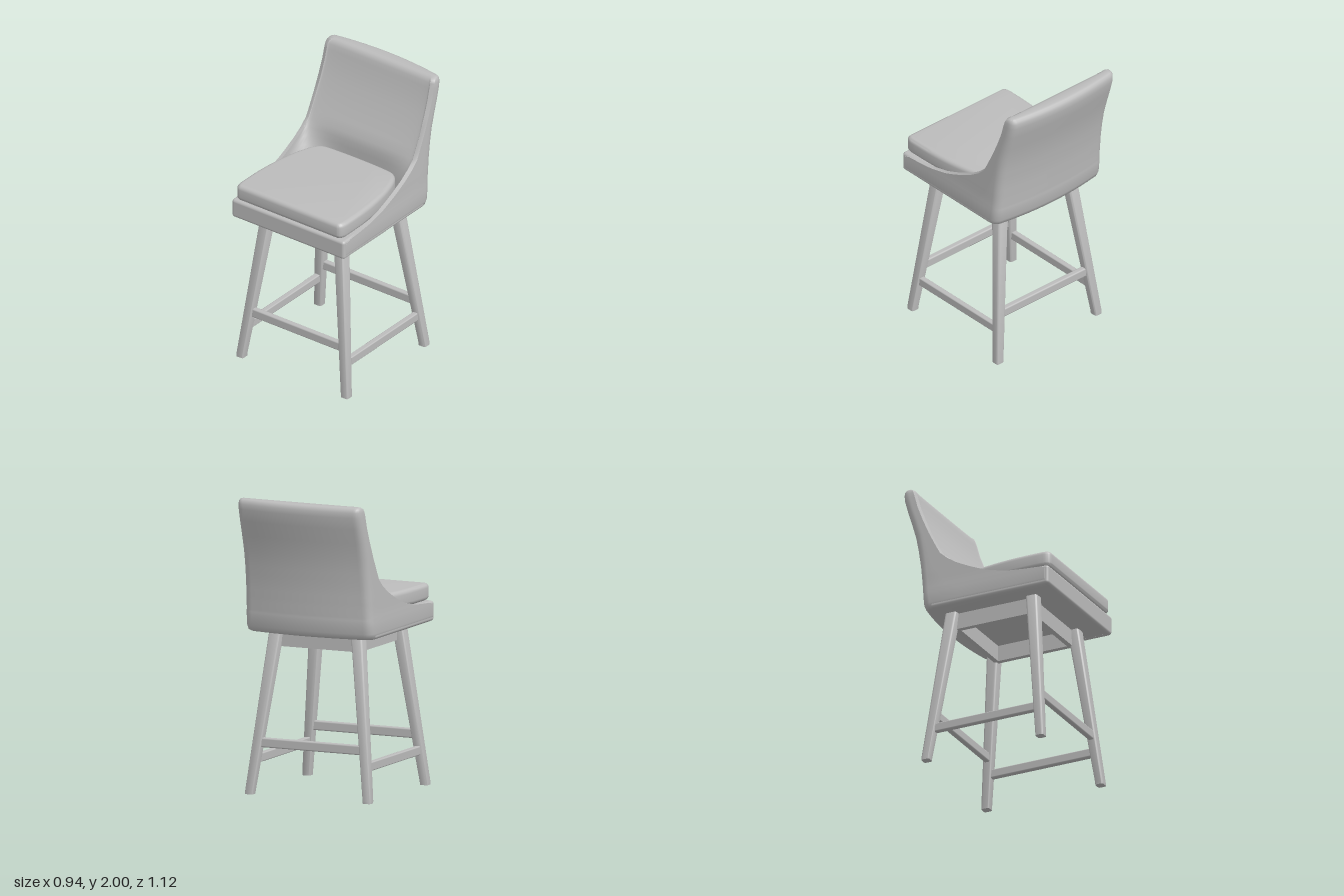
import * as THREE from 'three';
import { mergeVertices, toCreasedNormals } from 'three/addons/utils/BufferGeometryUtils.js';
import { RoundedBoxGeometry } from 'three/addons/geometries/RoundedBoxGeometry.js';

const grey = new THREE.MeshStandardMaterial({ color: 0xbcbcbc });
grey.name = 'plain grey';

function add(group, name, geometry, x = 0, y = 0, z = 0) {
  const mesh = new THREE.Mesh(geometry, grey);
  mesh.name = name;
  mesh.position.set(x, y, z);
  group.add(mesh);
  return mesh;
}

// Shell levels: height, half width, rear z at the middle, front z of the arms
const LEVELS = [
  [1.09, 0.452, -0.385, 0.54], [1.1, 0.464, -0.4, 0.55], [1.13, 0.469, -0.412, 0.55],
  [1.205, 0.469, -0.42, 0.55], [1.22, 0.468, -0.421, 0.5], [1.227, 0.468, -0.421, 0.4],
  [1.24, 0.467, -0.422, 0.28], [1.27, 0.466, -0.425, 0.15], [1.3, 0.465, -0.427, 0.07],
  [1.33, 0.465, -0.43, 0], [1.38, 0.464, -0.435, -0.1], [1.43, 0.463, -0.44, -0.175],
  [1.48, 0.462, -0.448, -0.23], [1.54, 0.461, -0.457, -0.262], [1.64, 0.46, -0.476, -0.312],
  [1.75, 0.458, -0.507, -0.36], [1.85, 0.456, -0.538, -0.398], [1.93, 0.455, -0.56, -0.42],
  [1.965, 0.453, -0.562, -0.43], [1.985, 0.449, -0.556, -0.44], [1.996, 0.44, -0.545, -0.455],
  [2.0, 0.425, -0.53, -0.468]
];

// One horizontal U-shaped ring: outside from left tip to right tip, then inside back again
function shellRing([y, w, back, front]) {
  const outer = [], inner = [];
  const corner = back + 0.035;
  const r = Math.max(0.008, Math.min(0.06, (front - corner) * 0.5));
  for (let k = 0; k < 5; k++) {
    outer.push([w, THREE.MathUtils.lerp(front - Math.min(0.012, r / 2), corner + r, k / 4)]);
  }
  for (let k = 1; k <= 5; k++) {
    const a = k / 5 * Math.PI / 2;
    outer.push([w - r + r * Math.cos(a), corner + r - r * Math.sin(a)]);
  }
  for (let k = 1; k <= 6; k++) {
    const t = 1 - k / 6;
    outer.push([(w - r) * t, back + 0.035 * t * t]);
  }
  const n = outer.length;
  const seatBack = Math.min(-0.22, front) - 0.008;
  for (let k = 0; k < n; k++) {
    const a = k / (n - 1) * Math.PI / 2;
    const c = Math.max(0, Math.cos(a));
    inner.push([(w - 0.028) * (k === n - 1 ? 0 : c ** 0.6), front + (seatBack - front) * Math.sin(a) ** 0.6]);
  }
  const mirrored = half => half.concat(half.slice(0, -1).reverse().map(([x, z]) => [-x, z]));
  return mirrored(outer).concat(mirrored(inner).reverse()).map(([x, z]) => [x, y, z]);
}

function shellGeometry() {
  const rings = LEVELS.map(shellRing);
  const n = rings[0].length, top = (rings.length - 1) * n;
  const index = [];
  for (let j = 0; j < rings.length - 1; j++) {
    for (let i = 0; i < n; i++) {
      const a = j * n + i, b = j * n + (i + 1) % n;
      index.push(a, b, b + n, a, b + n, a + n);
    }
  }
  // Caps stitch each outside point to its inside partner
  for (let i = 0; i < n / 2 - 1; i++) {
    const p = n - 1 - i;
    index.push(top + i, top + i + 1, top + p - 1, top + i, top + p - 1, top + p);
    index.push(i, p - 1, i + 1, i, p, p - 1);
  }
  const g = new THREE.BufferGeometry();
  g.setAttribute('position', new THREE.Float32BufferAttribute(rings.flat(2), 3));
  g.setIndex(index);
  return toCreasedNormals(g, 1.1);
}

// Cushion: straight front, sides narrowing into a rounded rear
function cushionGeometry() {
  const s = new THREE.Shape();
  s.moveTo(-0.40, -0.56);
  s.lineTo(0.40, -0.56);
  s.quadraticCurveTo(0.44, -0.56, 0.444, -0.50);
  s.bezierCurveTo(0.445, -0.35, 0.445, -0.2, 0.40, 0);
  s.bezierCurveTo(0.36, 0.15, 0.33, 0.21, 0.25, 0.215);
  s.quadraticCurveTo(0, 0.23, -0.25, 0.215);
  s.bezierCurveTo(-0.33, 0.21, -0.36, 0.15, -0.40, 0);
  s.bezierCurveTo(-0.445, -0.2, -0.445, -0.35, -0.444, -0.50);
  s.quadraticCurveTo(-0.44, -0.56, -0.40, -0.56);
  const g = new THREE.ExtrudeGeometry(s, {
    depth: 0.055, bevelEnabled: true, bevelThickness: 0.03, bevelSize: 0.03,
    bevelOffset: -0.03, bevelSegments: 5, curveSegments: 12
  });
  g.rotateX(-Math.PI / 2).translate(0, 1.259, 0);
  g.deleteAttribute('normal');
  g.deleteAttribute('uv');
  return toCreasedNormals(mergeVertices(g, 1e-4), 0.7);
}

// Leg: soft-edged square bar, tapering and splaying from top to foot
function legGeometry(topX, topZ, footX, footZ) {
  const h = 1.12;
  const g = new RoundedBoxGeometry(1, h, 1, 3, 0.006);
  const plan = new RoundedBoxGeometry(0.08, h, 0.08, 3, 0.018);
  const p = plan.attributes.position;
  for (let i = 0; i < p.count; i++) {
    const y = p.getY(i) + h / 2, t = y / h;
    const taper = THREE.MathUtils.lerp(0.74, 1.06, t);
    p.setXYZ(i,
      p.getX(i) * taper + THREE.MathUtils.lerp(footX, topX, t),
      y < 0.018 ? 0 : y,
      p.getZ(i) * taper + THREE.MathUtils.lerp(footZ, topZ, t));
  }
  g.dispose();
  plan.deleteAttribute('normal');
  plan.deleteAttribute('uv');
  return toCreasedNormals(mergeVertices(plan, 1e-4), 0.8);
}

export function createModel() {
  const model = new THREE.Group();
  model.name = 'counterStool';

  // Upholstery
  add(model, 'backAndArms', shellGeometry());
  add(model, 'seatBase', new RoundedBoxGeometry(0.934, 0.135, 0.88, 4, 0.02), 0, 1.158, 0.122);
  add(model, 'seatCushion', cushionGeometry());

  // Legs
  for (const side of [1, -1]) {
    add(model, 'frontLeg', legGeometry(side * 0.298, 0.367, side * 0.436, 0.493));
    add(model, 'backLeg', legGeometry(side * 0.298, -0.222, side * 0.436, -0.355));
  }

  // Apron under the seat
  for (const z of [0.345, -0.2]) {
    add(model, 'apronRail', new THREE.BoxGeometry(0.56, 0.12, 0.035), 0, 1.04, z);
  }
  for (const side of [1, -1]) {
    add(model, 'apronSide', new THREE.BoxGeometry(0.035, 0.12, 0.55), side * 0.285, 1.04, 0.07);
  }

  // Stretchers: the front and rear pair sits higher than the side pair
  for (const z of [0.455, -0.315]) {
    add(model, 'crossStretcher', new RoundedBoxGeometry(0.75, 0.064, 0.04, 2, 0.01), 0, 0.345, z);
  }
  for (const side of [1, -1]) {
    add(model, 'sideStretcher', new RoundedBoxGeometry(0.04, 0.06, 0.78, 2, 0.008), side * 0.407, 0.235, 0.07);
  }
  return model;
}
